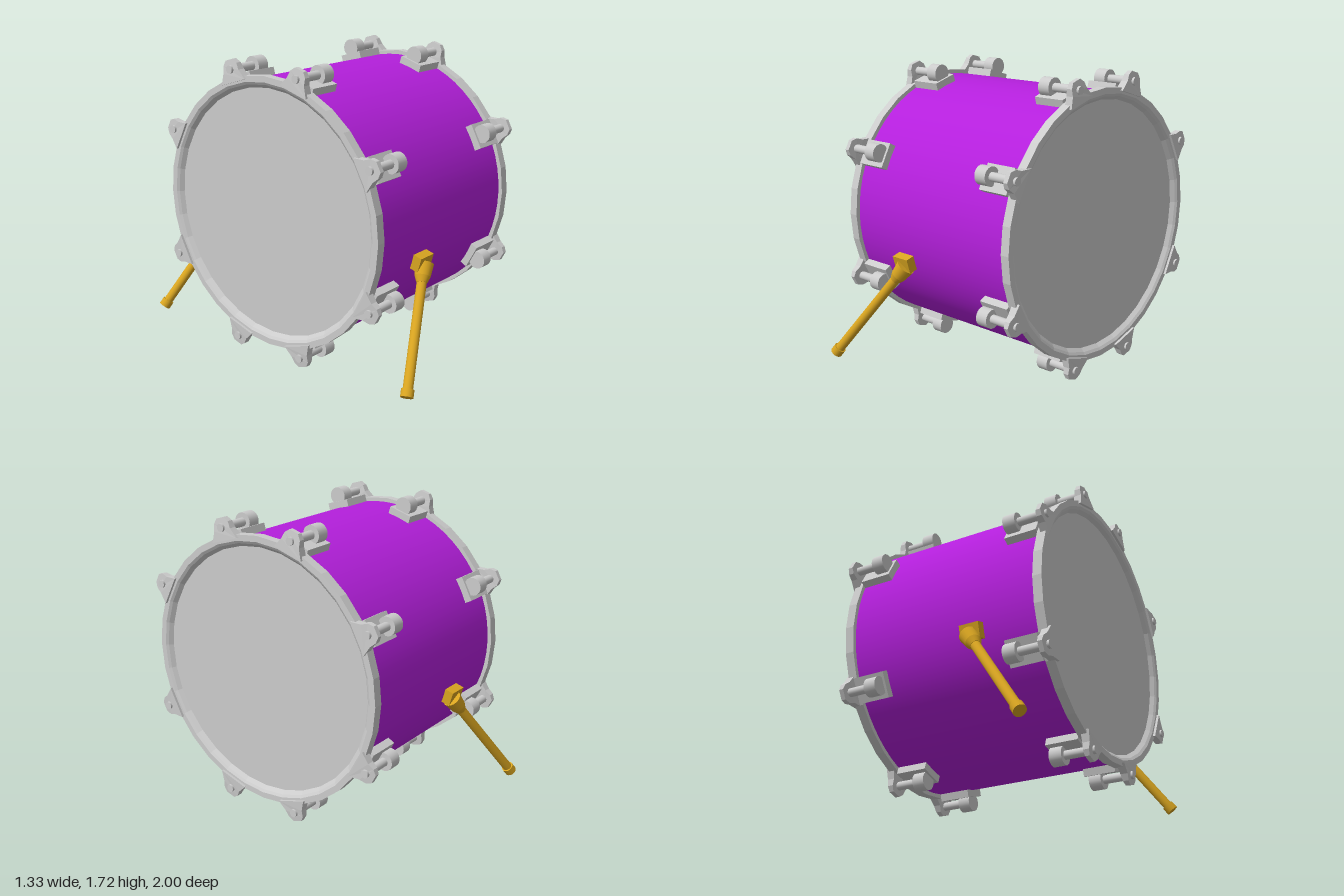
import * as THREE from 'three';

const CY = 0.866;        // height of the drum axis
const R = 0.765;         // shell radius
const deg = Math.PI / 180;

const grey = new THREE.MeshStandardMaterial({ color: 0xcccccc });
const greyFlat = new THREE.MeshStandardMaterial({ color: 0xcccccc, flatShading: true });
const purple = new THREE.MeshStandardMaterial({ color: 0xb41fdc });
const gold = new THREE.MeshStandardMaterial({ color: 0xd9a520 });

function add(parent, name, geometry, material) {
  const mesh = new THREE.Mesh(geometry, material);
  mesh.name = name;
  parent.add(mesh);
  return mesh;
}

// Cylinder lying along x from x0 to x1
function barX(x0, x1, radius, y = 0, segments = 20) {
  return new THREE.CylinderGeometry(radius, radius, x1 - x0, segments)
    .rotateZ(-Math.PI / 2).translate((x0 + x1) / 2, y, 0);
}

// Tapered rod between two points
function rod(a, b, ra, rb) {
  const dir = b.clone().sub(a);
  const geometry = new THREE.CylinderGeometry(rb, ra, dir.length(), 20);
  geometry.applyQuaternion(new THREE.Quaternion().setFromUnitVectors(
    new THREE.Vector3(0, 1, 0), dir.clone().normalize()));
  const mid = a.clone().add(b).multiplyScalar(0.5);
  return geometry.translate(mid.x, mid.y, mid.z);
}

// Hoop ear: rounded tab that gets thinner towards its tip
function earGeometry() {
  const s = new THREE.Shape();
  s.moveTo(-0.095, 0.765);
  s.lineTo(0.095, 0.765);
  s.lineTo(0.062, 0.825);
  s.lineTo(0.054, 0.865);
  s.lineTo(0.03, 0.892);
  s.lineTo(-0.03, 0.892);
  s.lineTo(-0.054, 0.865);
  s.lineTo(-0.062, 0.825);
  s.closePath();
  const g = new THREE.ExtrudeGeometry(s, { depth: 0.05, bevelEnabled: false });
  g.translate(0, 0, -0.025).rotateY(Math.PI / 2);
  const p = g.attributes.position;
  for (let i = 0; i < p.count; i++) {
    const t = THREE.MathUtils.clamp((p.getY(i) - 0.8) / 0.092, 0, 1);
    p.setX(i, 0.63 + p.getX(i) * (1 - 0.45 * t));
  }
  g.computeVertexNormals();
  return g;
}

// Lug, tension rod and hoop ear; local +y points out from the drum axis
function createTensioner() {
  const g = new THREE.Group();
  g.name = 'tensioner';
  add(g, 'lugBase', new THREE.BoxGeometry(0.195, 0.075, 0.15).translate(0.4875, 0.768, 0), greyFlat);
  add(g, 'lugCasing', barX(0.405, 0.48, 0.054, 0.838), grey);
  add(g, 'tensionRod', barX(0.47, 0.62, 0.025, 0.838), grey);
  add(g, 'hoopEar', earGeometry(), greyFlat);
  add(g, 'rodHead', barX(0.62, 0.663, 0.023, 0.838), grey);
  return g;
}

// One end of the drum: hoop, head and eight tensioners, facing +x
function createEnd(name) {
  const g = new THREE.Group();
  g.name = name;
  const profile = [[0.74, 0.585], [0.79, 0.585], [0.79, 0.64], [0.755, 0.64],
    [0.74, 0.63], [0.718, 0.605], [0.74, 0.585]].map(([r, y]) => new THREE.Vector2(r, y));
  add(g, 'hoop', new THREE.LatheGeometry(profile, 32).rotateZ(-Math.PI / 2), greyFlat);
  add(g, 'drumHead', barX(0.58, 0.608, 0.728, 0, 32), greyFlat);
  for (const a of [17, 62.2, 117.8, 163]) {
    for (const side of [1, -1]) {
      const t = createTensioner();
      t.rotation.x = side * a * deg;
      g.add(t);
    }
  }
  return g;
}

// Angled leg with bracket, socket and foot; side is the sign of z
function createLeg(side) {
  const g = new THREE.Group();
  g.name = side > 0 ? 'frontLeg' : 'backLeg';
  const at = (x, y, z) => new THREE.Vector3(x, y, z * side);
  const bracket = add(g, 'legBracket',
    new THREE.BoxGeometry(0.12, 0.088, 0.06).translate(0, 0, side * 0.787), gold);
  bracket.position.set(-0.2, CY, 0);
  bracket.rotation.x = side * 16 * deg;
  const top = at(-0.185, 0.63, 0.765);
  const foot = at(-0.608, 0.045, 0.967);
  const point = t => top.clone().lerp(foot, t);
  add(g, 'legSocket', rod(point(0), point(0.1), 0.055, 0.045), gold);
  add(g, 'legCollar', rod(point(0.1), point(0.15), 0.045, 0.03), gold);
  add(g, 'legTube', rod(point(0.05), point(0.97), 0.028, 0.028), gold);
  add(g, 'legFoot', rod(point(0.94), point(1), 0.036, 0.036), gold);
  return g;
}

export function createModel() {
  const model = new THREE.Group();
  model.name = 'drum';
  const body = new THREE.Group();
  body.name = 'drumBody';
  body.position.y = CY;
  model.add(body);

  add(body, 'shell', barX(-0.59, 0.59, R, 0, 64), purple);
  const left = createEnd('leftEnd');
  const right = createEnd('rightEnd');
  right.rotation.y = Math.PI;
  body.add(left, right);

  model.add(createLeg(1), createLeg(-1));
  return model;
}
